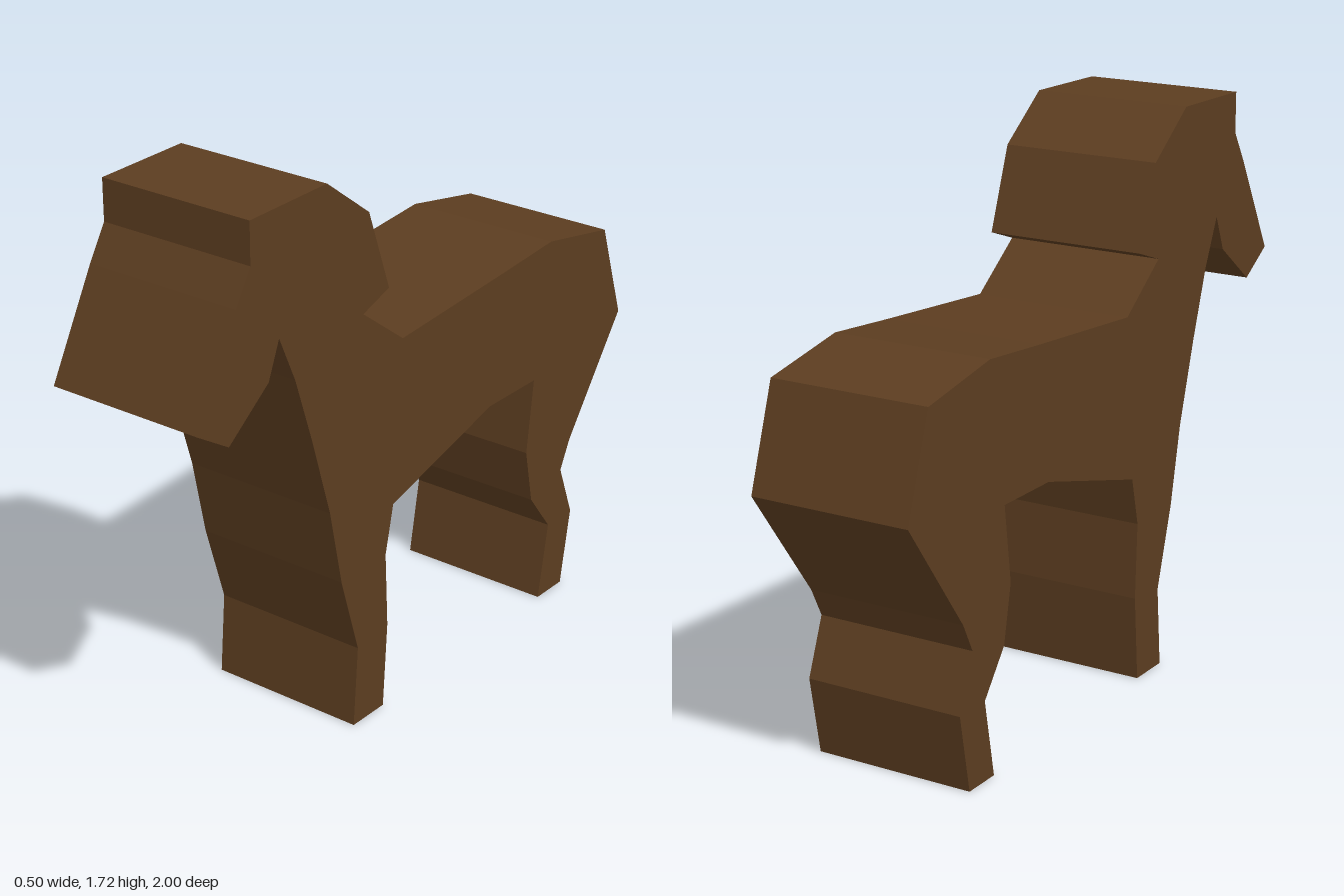
import * as THREE from 'three';

const WIDTH = 0.505;

// Side outline as [z, y], one run per body region
const outline = [
  // throat and chest
  [0.67, 1.345], [0.605, 1.2], [0.535, 0.99], [0.46, 0.74],
  // front leg
  [0.41, 0.5], [0.335, 0.25], [0.355, 0], [0.215, 0], [0.195, 0.265], [0.205, 0.5],
  // belly
  [0.17, 0.65], [-0.305, 0.78], [-0.535, 0.78],
  // hind leg
  [-0.505, 0.545], [-0.54, 0.37], [-0.64, 0.24], [-0.595, 0], [-0.72, 0],
  [-0.765, 0.24], [-0.7, 0.41], [-0.745, 0.5],
  // rump and back
  [-1, 0.85], [-0.9, 1.155], [-0.605, 1.21], [-0.355, 1.19], [0.13, 1.155],
  // mane
  [0.31, 1.29], [0.195, 1.33], [0.285, 1.58], [0.465, 1.715],
  // forehead, muzzle and jaw
  [0.78, 1.71], [0.78, 1.585], [0.84, 1.485], [1, 1.185], [0.88, 1.11], [0.715, 1.235],
];

export function createModel() {
  const group = new THREE.Group();
  group.name = 'horse';

  // Horse cut-out: the side outline extruded across the width
  const shape = new THREE.Shape(outline.map(([z, y]) => new THREE.Vector2(z, y)));
  const geometry = new THREE.ExtrudeGeometry(shape, { depth: WIDTH, bevelEnabled: false });
  geometry.translate(0, 0, -WIDTH / 2);
  geometry.rotateY(-Math.PI / 2);

  const material = new THREE.MeshStandardMaterial({ color: 0x5c3d20, flatShading: true });
  const body = new THREE.Mesh(geometry, material);
  body.name = 'horseBody';
  group.add(body);
  return group;
}
